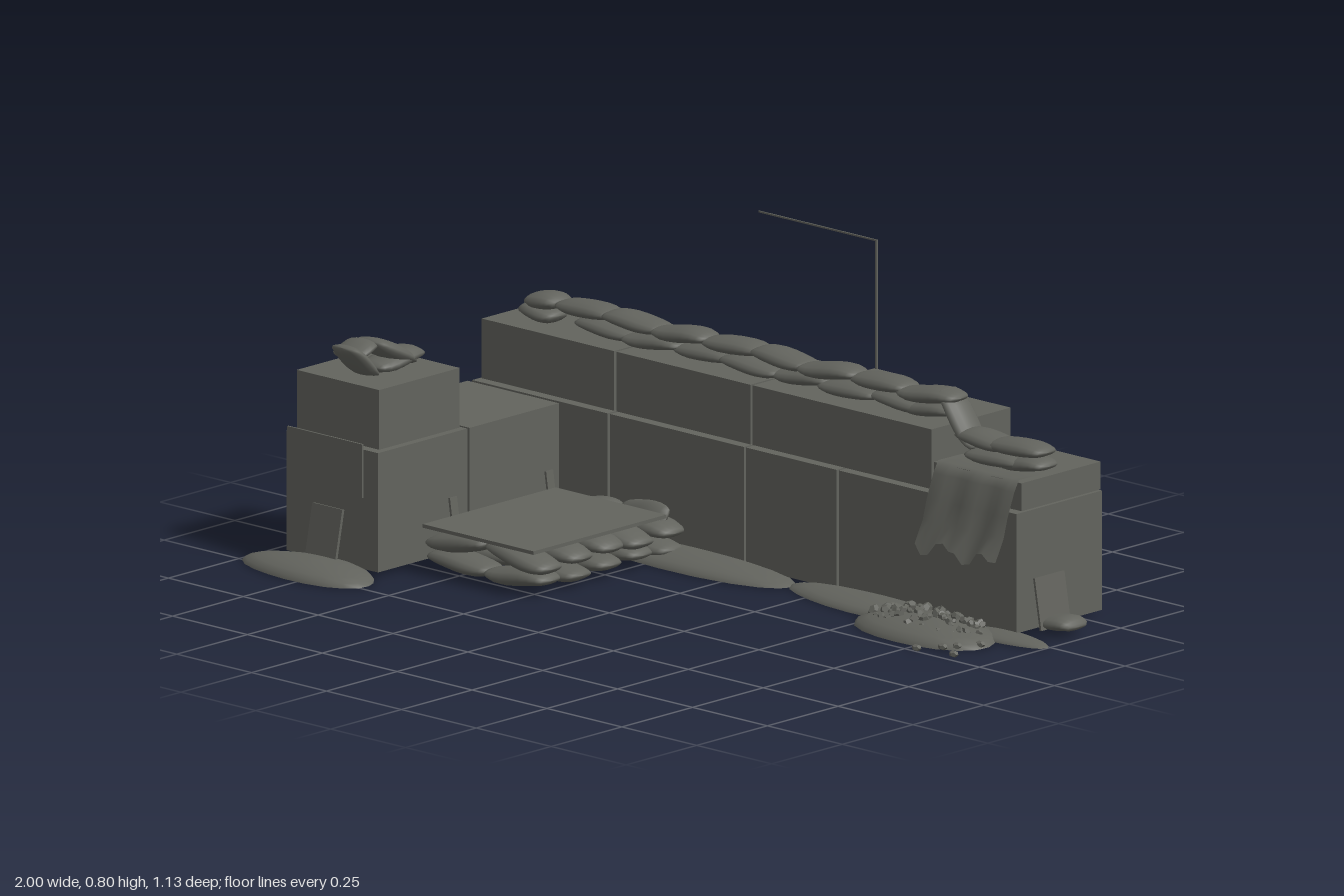
import * as THREE from 'three';

const stone = new THREE.MeshStandardMaterial({ color: 0x62635d, side: THREE.DoubleSide });
stone.name = 'drab grey';

let seed = 7;
const rnd = () => (seed = (seed * 16807) % 2147483647) / 2147483647;

export function createModel() {
  const root = new THREE.Group();
  root.name = 'barricade';

  const add = (name, geo, x = 0, y = 0, z = 0) => {
    const m = new THREE.Mesh(geo, stone);
    m.name = name;
    m.position.set(x, y, z);
    root.add(m);
    return m;
  };

  // Hollow crate; keep lists the sides in the order +x -x +y -y +z -z
  const crate = (name, x0, x1, y0, y1, z0, z1, keep) => {
    const g = new THREE.BoxGeometry(x1 - x0, y1 - y0, z1 - z0);
    const all = Array.from(g.index.array);
    g.setIndex(keep.flatMap((f) => all.slice(f * 6, f * 6 + 6)));
    g.clearGroups();
    return add(name, g, (x0 + x1) / 2, (y0 + y1) / 2, (z0 + z1) / 2);
  };
  const box = (name, x, y, z, w, h, d) => add(name, new THREE.BoxGeometry(w, h, d), x, y, z);

  // Sandbag lying along x, pinched at the ends and slightly sagging
  const bagGeo = (bend) => {
    const g = new THREE.SphereGeometry(1, 14, 10).rotateZ(Math.PI / 2);
    const p = g.attributes.position;
    for (let i = 0; i < p.count; i++) {
      const x = p.getX(i), r = Math.max(Math.hypot(p.getY(i), p.getZ(i)), 1e-4);
      const y = (p.getY(i) / r) * Math.pow(r, 0.85);
      const z = (p.getZ(i) / r) * Math.pow(r, 0.35);
      p.setXYZ(i, x, y + bend * Math.sin(2.4 * x), z);
    }
    g.computeVertexNormals();
    return g;
  };
  const bagShapes = [bagGeo(0.3), bagGeo(-0.2), bagGeo(0.1)];
  let bagNo = 0;
  const bag = (x, y, z, len = 0.19, h = 0.045, w = 0.1, ry = 0, rz = 0) => {
    const m = add('sandbag', bagShapes[bagNo++ % 3], x, y, z);
    m.scale.set(len / 2, h / 2, w / 2);
    m.rotation.set(0, ry, rz);
    return m;
  };

  // Main wall: lower crates open at the back and below
  const lower = [-0.945, -0.485, -0.03, 0.28, 0.88];
  for (let i = 0; i < 4; i++) {
    crate('lowerWall', lower[i] + 0.004, lower[i + 1] - 0.004, 0.01, 0.31, -0.565, -0.262, [0, 1, 2, 4]);
  }
  // Main wall: upper crates, the last one lower
  const upper = [-0.935, -0.485, -0.03, 0.575, 0.875];
  for (let i = 0; i < 4; i++) {
    crate('upperWall', upper[i] + 0.004, upper[i + 1] - 0.004, 0.312, i < 3 ? 0.462 : 0.382, -0.565, -0.285, [0, 1, 2, 4]);
  }

  // Side arm
  crate('armRear', -0.945, -0.64, 0.01, 0.31, -0.25, 0.066, [0, 1, 2, 4]);
  crate('armFront', -0.945, -0.64, 0.01, 0.31, 0.074, 0.39, [0, 1, 2, 4]);
  crate('armTop', -0.93, -0.655, 0.312, 0.462, 0.085, 0.37, [0, 1, 2, 4, 5]);
  box('frontSign', -0.792, 0.265, 0.415, 0.25, 0.135, 0.005);

  // Boards leaning on the wall ends
  const lean = (name, x, y, z, w, h, d, rx, rz) => box(name, x, y, z, w, h, d).rotation.set(rx, 0, rz);
  lean('frontBoard', -0.8, 0.08, 0.41, 0.1, 0.14, 0.008, -0.2, 0);
  lean('innerBoard', -0.625, 0.075, 0.13, 0.006, 0.15, 0.025, 0, 0.15);
  lean('innerBoard', -0.625, 0.075, -0.21, 0.006, 0.15, 0.025, 0, 0.15);
  lean('endBoard', 0.895, 0.075, -0.368, 0.006, 0.13, 0.105, 0, 0.17);
  bag(0.93, 0.027, -0.37, 0.1, 0.04, 0.1, 0, -0.15);

  // Two rows of sandbags on the wall
  for (let i = 0; i < 8; i++) {
    const x = -0.66 + i * 0.164;
    if (i < 7) bag(x + 0.07, 0.483, -0.38 + (i % 2) * 0.01, 0.19, 0.04);
    bag(x, 0.518, -0.38 + (i % 3) * 0.005, 0.185, 0.042, 0.1, (i % 2) * 0.08 - 0.04);
  }
  bag(-0.815, 0.484, -0.38, 0.11, 0.045);
  bag(-0.8, 0.515, -0.38, 0.1, 0.045);
  bag(0.49, 0.483, -0.38, 0.17, 0.04);
  bag(0.585, 0.475, -0.38, 0.17, 0.04, 0.09, 0, -0.85);
  bag(0.72, 0.402, -0.37, 0.19, 0.04);
  bag(0.8, 0.402, -0.38, 0.15, 0.04);
  bag(0.67, 0.437, -0.38, 0.17, 0.042);
  bag(0.78, 0.438, -0.38, 0.18, 0.042);

  // Heap of sandbags on the arm
  bag(-0.79, 0.48, 0.18, 0.17, 0.045, 0.1, Math.PI / 2);
  bag(-0.79, 0.5, 0.31, 0.13, 0.04, 0.1, Math.PI / 2, -0.65);
  bag(-0.79, 0.505, 0.2, 0.16, 0.045, 0.11, Math.PI / 2, -0.5);
  bag(-0.8, 0.525, 0.3, 0.09, 0.035, 0.1, Math.PI / 2, 0.1);

  // Sandbag platform with a board on top
  for (let r = 0; r < 5; r++) {
    const z = 0.23 - r * 0.108;
    for (let c = 0; c < 2; c++) {
      bag(-0.5 + c * 0.19, 0.032, z, 0.2, 0.048, 0.106);
      bag(-0.505 + c * 0.2, 0.082, z, 0.2, 0.052, 0.11, 0, c ? -0.12 : 0.12);
    }
  }
  box('platformBoard', -0.405, 0.116, 0.05, 0.37, 0.009, 0.47);
  bag(-0.33, 0.09, -0.215, 0.18, 0.045, 0.09, 0, 0.1).rotation.x = 0.9;

  // Earth mounds: flattened domes with an uneven rim
  const mound = (name, x, z, rx, rz, h) => {
    const g = new THREE.SphereGeometry(1, 20, 5, 0, Math.PI * 2, 0, Math.PI / 2);
    const p = g.attributes.position;
    for (let i = 0; i < p.count; i++) {
      const a = Math.atan2(p.getZ(i), p.getX(i));
      const k = 0.96 + 0.04 * Math.sin(3 * a + x * 9);
      p.setXYZ(i, p.getX(i) * k * rx, p.getY(i) * h, p.getZ(i) * k * rz);
    }
    g.computeVertexNormals();
    add(name, g, x, 0, z);
  };
  mound('frontMound', -0.79, 0.47, 0.21, 0.1, 0.034);
  mound('wallMound', -0.2, -0.225, 0.39, 0.095, 0.03);
  mound('wallMound', 0.42, -0.235, 0.28, 0.085, 0.025);
  mound('rubbleMound', 0.685, -0.15, 0.215, 0.13, 0.04);
  mound('endMound', 0.86, -0.24, 0.14, 0.05, 0.015);

  // Loose rubble
  const rock = new THREE.DodecahedronGeometry(1, 0);
  for (let i = 0; i < 60; i++) {
    const a = rnd() * 6.283, r = Math.sqrt(rnd());
    const m = add('rubble', rock, 0.67 + 0.18 * r * Math.cos(a), 0.044 - 0.022 * r * r, -0.165 + 0.08 * r * Math.sin(a));
    const s = 0.007 + rnd() * 0.009;
    m.scale.set(s * 1.2, s * 0.8, s);
    m.rotation.set(rnd() * 3, rnd() * 3, rnd() * 3);
  }
  for (const [x, z] of [[0.79, 0], [0.895, -0.02], [0.85, -0.08], [0.83, -0.05], [0.88, -0.13]]) {
    add('rubble', rock, x, 0.01, z).scale.set(0.013, 0.009, 0.011);
  }

  // Torn cloth hanging over the low end of the wall
  const fall = [[0.387, -0.37], [0.388, -0.288], [0.36, -0.272], [0.3, -0.248], [0.25, -0.234], [0.195, -0.205]];
  const cloth = new THREE.PlaneGeometry(0.27, 1, 12, 5);
  const cp = cloth.attributes.position;
  for (let i = 0; i < cp.count; i++) {
    const row = Math.floor(i / 13), col = i % 13;
    const tear = row === 5 ? [0, -0.025, -0.02, 0.01, 0.015, 0][col % 6] : 0;
    const fold = row > 1 ? 0.004 * Math.sin(col * 1.3) : 0;
    cp.setXYZ(i, cp.getX(i) + 0.725, fall[row][0] + tear, fall[row][1] + fold);
  }
  cloth.computeVertexNormals();
  add('tornCloth', cloth);

  // Radio box and bent aerial at the back
  box('radioBox', 0.147, 0.435, -0.548, 0.07, 0.08, 0.042);
  box('aerialMast', 0.12, 0.63, -0.568, 0.005, 0.34, 0.004);
  box('aerialArm', -0.075, 0.798, -0.568, 0.395, 0.004, 0.004);

  return root;
}
